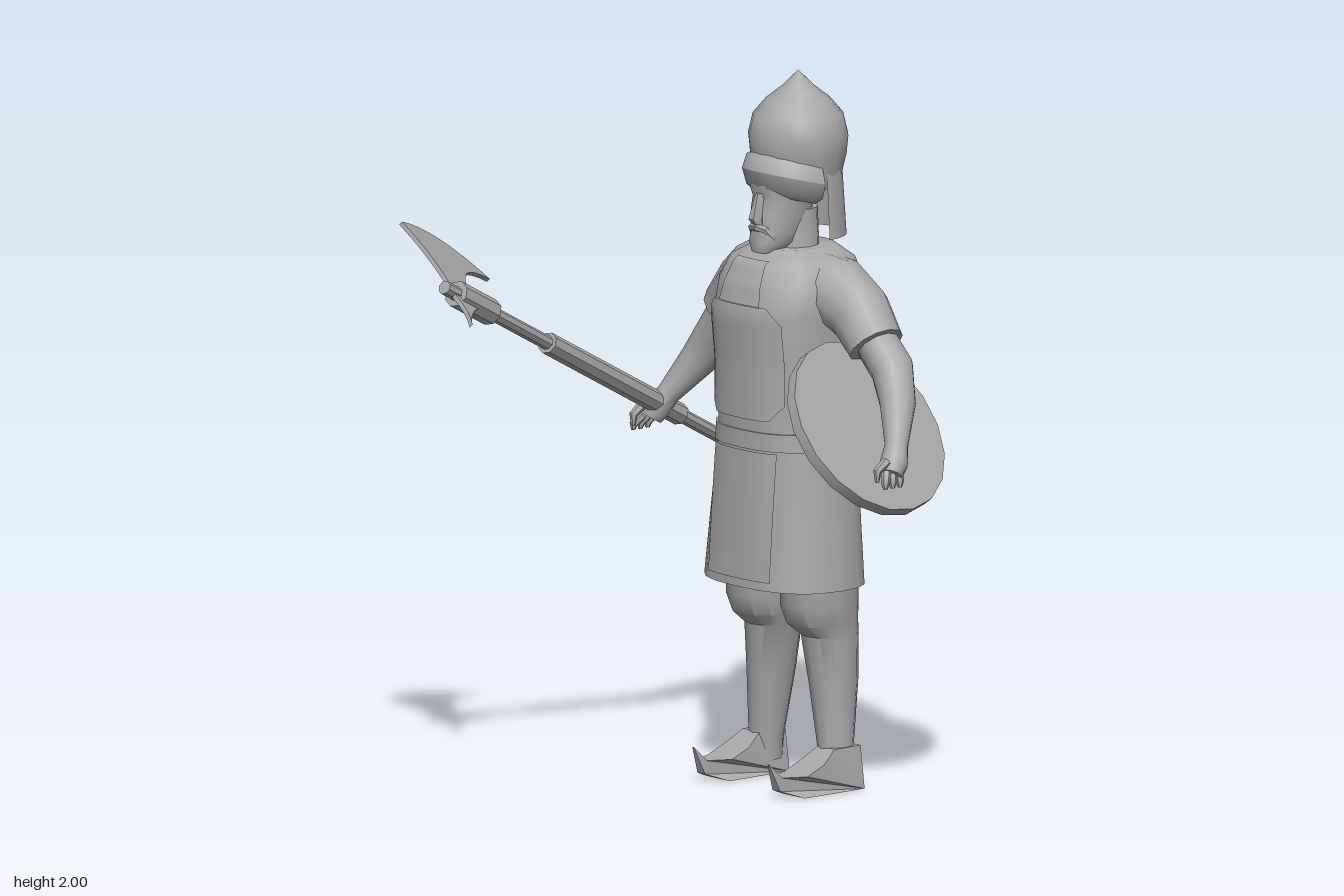
import * as THREE from 'three';
import { toCreasedNormals } from 'three/addons/utils/BufferGeometryUtils.js';

const V = (x, y, z) => new THREE.Vector3(x, y, z);
const CX = 0.025; // body centre line

// Skin rings of points into a capped surface
function loft(rings, crease = 0.75) {
  const n = rings[0].length, pos = [];
  const tri = (...pts) => pts.forEach(p => pos.push(p.x, p.y, p.z));
  const mid = r => r.reduce((s, p) => s.add(p), V(0, 0, 0)).divideScalar(n);
  const first = rings[0], last = rings[rings.length - 1], c0 = mid(first), c1 = mid(last);
  for (let i = 0; i < n; i++) {
    const j = (i + 1) % n;
    for (let k = 0; k < rings.length - 1; k++) {
      const a = rings[k], b = rings[k + 1];
      tri(a[i], b[i], a[j]);
      tri(a[j], b[i], b[j]);
    }
    tri(c0, first[i], first[j]);
    tri(c1, last[j], last[i]);
  }
  const g = new THREE.BufferGeometry();
  g.setAttribute('position', new THREE.Float32BufferAttribute(pos, 3));
  return toCreasedNormals(g, crease);
}

// Horizontal rounded section; p < 1 makes it squarer
function section(y, cx, rx, cz, rz, n = 20, p = 0.8) {
  const f = v => Math.sign(v) * Math.pow(Math.abs(v), p);
  return Array.from({ length: n }, (_, i) => {
    const a = i / n * Math.PI * 2;
    return V(cx + rx * f(Math.cos(a)), y, cz + rz * f(Math.sin(a)));
  });
}

// Tapered limb through [x, y, z, radius] stations
function limb(stations, n = 10) {
  const pts = stations.map(s => V(s[0], s[1], s[2]));
  return loft(pts.map((p, k) => {
    const t = pts[Math.min(k + 1, pts.length - 1)].clone().sub(pts[Math.max(k - 1, 0)]).normalize();
    const e1 = t.clone().cross(V(0, 0, 1)).normalize(), e2 = e1.clone().cross(t);
    return Array.from({ length: n }, (_, i) => {
      const a = i / n * Math.PI * 2, r = stations[k][3];
      return p.clone().addScaledVector(e1, r * Math.cos(a)).addScaledVector(e2, r * Math.sin(a));
    });
  }));
}

// Tunic stations: y, half width, z centre, half depth
const TORSO = [
  [0.575, 0.245, -0.185, 0.175], [0.96, 0.198, -0.195, 0.168], [1.02, 0.193, -0.195, 0.168],
  [1.2, 0.19, -0.2, 0.178], [1.34, 0.2, -0.2, 0.188], [1.42, 0.2, -0.21, 0.178],
  [1.48, 0.17, -0.215, 0.155], [1.515, 0.1, -0.22, 0.11],
];
function torsoAt(y) {
  const k = Math.max(1, TORSO.findIndex(r => r[0] >= y));
  const a = TORSO[k - 1], b = TORSO[k], t = (y - a[0]) / (b[0] - a[0]);
  return a.map((v, i) => v + (b[i] - v) * t);
}

// Thin panel laid over the front of the tunic
function panel(y0, y1, half, lift) {
  const g = new THREE.PlaneGeometry(2, 1, 10, 14), p = g.attributes.position;
  for (let i = 0; i < p.count; i++) {
    const t = p.getY(i) + 0.5, y = y0 + (y1 - y0) * t, x = p.getX(i) * half(t);
    const [, rx, cz, rz] = torsoAt(y);
    p.setXYZ(i, CX + x, y, cz + lift + rz * Math.pow(1 - Math.pow(Math.abs(x) / rx, 2.5), 0.4));
  }
  g.computeVertexNormals();
  return g;
}

export function createModel() {
  const model = new THREE.Group();
  const grey = new THREE.MeshStandardMaterial({ color: 0xa8a8a8, side: THREE.DoubleSide });
  grey.name = 'plain grey';
  const add = (name, geometry, parent = model) => {
    const m = new THREE.Mesh(geometry, grey);
    m.name = name;
    parent.add(m);
    return m;
  };

  // Tunic, belt and apron
  add('tunic', loft(TORSO.map(([y, rx, cz, rz]) => section(y, CX, rx, cz, rz))));
  add('belt', loft([0.965, 1.015].map(y => {
    const [, rx, cz, rz] = torsoAt(y);
    return section(y, CX, rx + 0.006, cz, rz + 0.006);
  })));
  add('chestPlate', panel(1.05, 1.37, t => 0.15 - 0.04 * Math.max(0, 1 - Math.min(t, 1 - t) / 0.14), 0.012));
  add('bib', panel(1.37, 1.49, t => 0.085 - 0.02 * t, 0.008));
  add('skirtPanel', panel(0.6, 0.96, () => 0.13, 0.007));

  // Neck and face
  add('neck', loft([[1.46, 0.085], [1.5, 0.075], [1.62, 0.07]].map(([y, r]) => section(y, CX, r, -0.215, r, 12, 1))));
  const face = [
    [1.505, 0.035, -0.12, 0.04], [1.53, 0.055, -0.145, 0.068], [1.565, 0.062, -0.165, 0.08],
    [1.62, 0.072, -0.175, 0.085], [1.655, 0.075, -0.18, 0.08], [1.69, 0.08, -0.185, 0.1], [1.75, 0.08, -0.19, 0.09],
  ];
  add('face', loft(face.map(([y, rx, cz, rz]) => section(y, CX, rx, cz, rz, 14))));
  add('nose', loft([[1.585, 0.02, -0.088, 0.016], [1.6, 0.02, -0.085, 0.025], [1.67, 0.01, -0.1, 0.018]]
    .map(([y, rx, cz, rz]) => section(y, CX, rx, cz, rz, 6, 1))));
  for (const s of [-1, 1]) {
    add('moustache', limb([[CX, 1.575, -0.085, 0.012], [CX + s * 0.03, 1.57, -0.093, 0.011], [CX + s * 0.048, 1.545, -0.11, 0.004]], 6));
  }

  // Pointed helmet, wrapped cloth and neck guard
  const cap = [[0.118, 1.68], [0.124, 1.72], [0.136, 1.77], [0.141, 1.82], [0.128, 1.875], [0.09, 1.92], [0.045, 1.955], [0, 2]];
  add('helmet', new THREE.LatheGeometry(cap.map(([r, y]) => new THREE.Vector2(r, y)), 14)).position.set(CX, 0, -0.235);
  const wrap = new THREE.TorusGeometry(0.098, 0.042, 8, 14, Math.PI).rotateX(Math.PI / 2).scale(1, 1.45, 1);
  const wp = wrap.attributes.position;
  for (let i = 0; i < wp.count; i++) wp.setY(i, wp.getY(i) + 0.25 * wp.getZ(i) - 0.01); // rises over the brow
  wrap.computeVertexNormals();
  add('headWrap', wrap).position.set(CX, 1.71, -0.215);
  add('neckGuard', new THREE.CylinderGeometry(0.122, 0.134, 0.19, 12, 1, true, Math.PI / 2, Math.PI)).position.set(CX, 1.635, -0.235);

  // Legs and curled boots
  const legStations = [
    [0.04, 0.155, 0.048, -0.245, 0.05], [0.1, 0.148, 0.043, -0.245, 0.05], [0.3, 0.132, 0.063, -0.25, 0.07],
    [0.43, 0.12, 0.076, -0.247, 0.08], [0.465, 0.115, 0.085, -0.225, 0.103], [0.52, 0.115, 0.092, -0.213, 0.114],
    [0.6, 0.115, 0.092, -0.213, 0.114],
  ];
  const sole = [[-0.297, 0], [-0.08, 0], [-0.02, 0.022], [0.01, 0.1], [-0.025, 0.06], [-0.09, 0.06], [-0.15, 0.085], [-0.2, 0.12], [-0.295, 0.12]];
  for (const s of [-1, 1]) {
    const leg = new THREE.Group();
    leg.name = s < 0 ? 'rightLeg' : 'leftLeg';
    model.add(leg);
    add('legging', loft(legStations.map(([y, d, rx, cz, rz]) => section(y, CX + s * d, rx, cz, rz, 12, 0.9))), leg);
    const g = new THREE.ExtrudeGeometry(new THREE.Shape(sole.map(q => new THREE.Vector2(...q))), { depth: 0.1, bevelEnabled: false });
    g.translate(0, 0, -0.05).rotateY(-Math.PI / 2);
    const p = g.attributes.position;
    for (let i = 0; i < p.count; i++) { // narrow toward the toe and ankle
      const toe = Math.min(1, Math.max(0.06, (0.01 - p.getZ(i)) / 0.09));
      p.setX(i, p.getX(i) * toe * (p.getY(i) > 0.11 ? 0.7 : 1));
    }
    add('boot', toCreasedNormals(g, 0.6), leg).position.x = CX + s * 0.16;
  }

  // Arms: sleeve, forearm, hand with fingers
  const arms = {
    left: {
      sleeve: [[0.1, 1.41, -0.22, 0.1], [0.19, 1.395, -0.235, 0.105], [0.27, 1.35, -0.25, 0.09], [0.345, 1.27, -0.245, 0.08]],
      forearm: [[0.31, 1.31, -0.247, 0.06], [0.4, 1.21, -0.257, 0.062], [0.46, 1.13, -0.225, 0.052], [0.525, 1.025, -0.165, 0.033],
        [0.545, 0.985, -0.14, 0.04], [0.555, 0.955, -0.12, 0.032]],
      tip: [0.568, 0.925, -0.115], knuckle: [0.555, 0.965, -0.125],
    },
    right: {
      sleeve: [[-0.05, 1.41, -0.22, 0.1], [-0.14, 1.395, -0.235, 0.105], [-0.21, 1.36, -0.25, 0.09], [-0.285, 1.28, -0.25, 0.08]],
      forearm: [[-0.25, 1.32, -0.25, 0.06], [-0.35, 1.2, -0.26, 0.06], [-0.4, 1.12, -0.235, 0.052], [-0.46, 1.02, -0.175, 0.033],
        [-0.478, 0.985, -0.15, 0.04], [-0.485, 0.955, -0.135, 0.032]],
      tip: [-0.5, 0.93, -0.11], knuckle: [-0.49, 0.965, -0.13],
    },
  };
  for (const [side, a] of Object.entries(arms)) {
    const arm = new THREE.Group();
    arm.name = side + 'Arm';
    model.add(arm);
    add('sleeve', limb(a.sleeve, 12), arm);
    add('forearm', limb(a.forearm), arm);
    const [kx, ky, kz] = a.knuckle, [tx, ty, tz] = a.tip;
    for (const f of [-1, 0, 1]) {
      add('finger', limb([[kx, ky, kz + f * 0.022, 0.014], [tx, ty + 0.01, tz + f * 0.026, 0.012], [tx, ty - 0.005, tz + f * 0.026, 0.006]], 6), arm);
    }
    add('thumb', limb([[kx, ky + 0.03, kz + 0.02, 0.014], [kx, ky + 0.005, kz + 0.055, 0.012], [kx, ky - 0.025, kz + 0.055, 0.006]], 6), arm);
  }

  // Round shield strapped inside the left forearm
  const shield = new THREE.Group();
  shield.name = 'shield';
  shield.position.set(0.413, 1.06, -0.15);
  shield.quaternion.setFromUnitVectors(V(0, 1, 0), V(0.8, 0.58, -0.13).normalize());
  model.add(shield);
  add('shieldDisc', toCreasedNormals(new THREE.CylinderGeometry(0.265, 0.265, 0.034, 18), 0.6), shield);
  for (const x of [-0.09, 0, 0.09]) {
    const boss = add('boss', new THREE.SphereGeometry(0.03, 8, 6), shield);
    boss.position.set(x, -0.017, 0);
    boss.scale.y = 0.6;
  }

  // Poleaxe, built along its shaft from butt to tip
  const butt = V(-0.575, 0.68, -0.765), tip = V(-0.318, 1.463, 0.755);
  const u = tip.clone().sub(butt).normalize();
  const at = z => butt.clone().lerp(tip, (z - butt.z) / (tip.z - butt.z));
  const axe = new THREE.Group();
  axe.name = 'poleaxe';
  model.add(axe);
  for (const [name, z0, z1, r] of [['shaft', -0.765, 0.755, 0.02], ['grip', -0.24, 0.32, 0.031], ['socket', 0.56, 0.705, 0.038]]) {
    const p0 = at(z0), p1 = at(z1);
    const m = add(name, toCreasedNormals(new THREE.CylinderGeometry(r, r, p0.distanceTo(p1), 8), 0.5), axe);
    m.position.copy(p0).lerp(p1, 0.5);
    m.quaternion.setFromUnitVectors(V(0, 1, 0), u);
  }
  // Crescent blade with a back spike
  const outline = new THREE.Shape();
  outline.moveTo(-0.155, 0.075);
  outline.quadraticCurveTo(-0.08, 0.03, -0.03, 0.055);
  outline.lineTo(0.05, 0.045);
  outline.quadraticCurveTo(0.16, 0.04, 0.258, 0.1);
  outline.quadraticCurveTo(0.325, -0.1, 0.195, -0.274);
  outline.quadraticCurveTo(0.19, -0.1, 0.04, -0.06);
  outline.lineTo(-0.03, -0.05);
  outline.quadraticCurveTo(-0.08, 0.03, -0.155, 0.075);
  const blade = add('blade', new THREE.ExtrudeGeometry(outline, { depth: 0.012, bevelEnabled: false, curveSegments: 8 }).translate(0, 0, -0.006), axe);
  const v = V(-0.83, 0.535, -0.14);
  v.addScaledVector(u, -v.dot(u)).normalize();
  blade.quaternion.setFromRotationMatrix(new THREE.Matrix4().makeBasis(v, u, v.clone().cross(u)));
  blade.position.copy(at(0.68));

  return model;
}
